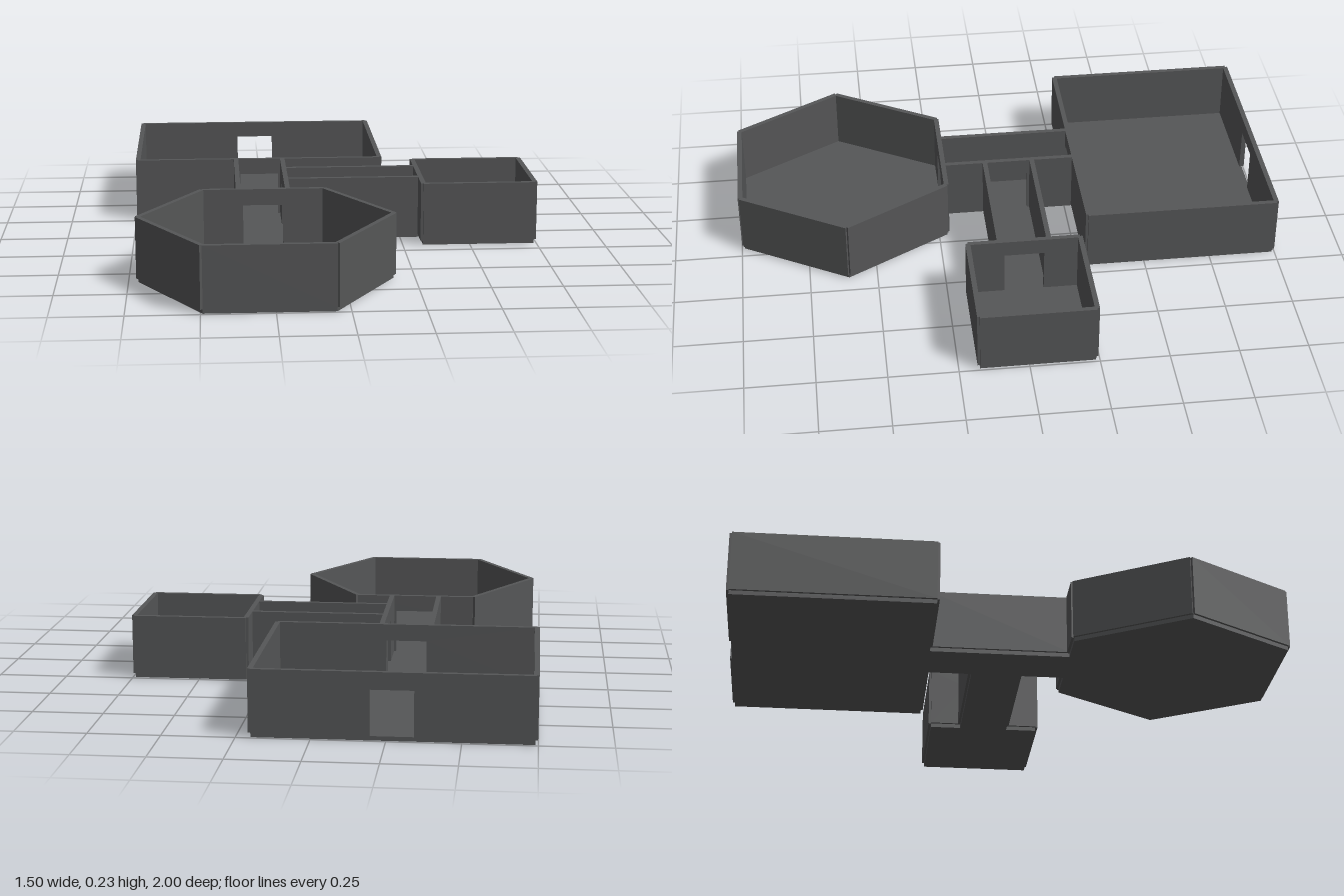
import * as THREE from 'three';

const FLOOR = 0.015;    // slab thickness
const TOP = 0.235;      // top of the walls
const WALL = 0.018;     // wall thickness
const DOOR_W = 0.146, DOOR_H = 0.16;

export function createModel() {
  const model = new THREE.Group();
  model.name = 'floorPlan';
  const stone = new THREE.MeshStandardMaterial({ color: 0x555657 });
  stone.name = 'dark grey';

  function add(group, geometry, name) {
    const mesh = new THREE.Mesh(geometry, stone);
    mesh.name = name;
    group.add(mesh);
    return mesh;
  }

  // Upright wall from a to b ([x, z]); an optional doorway is centred on it or at a given distance
  function addWall(group, a, b, doorAt) {
    const dx = b[0] - a[0], dz = b[1] - a[1];
    const len = Math.hypot(dx, dz), h = TOP - FLOOR;
    const s = new THREE.Shape();
    s.moveTo(0, 0);
    if (doorAt !== undefined) {
      const l = doorAt - DOOR_W / 2, r = doorAt + DOOR_W / 2;
      s.lineTo(l, 0);
      s.lineTo(l, DOOR_H);
      s.lineTo(r, DOOR_H);
      s.lineTo(r, 0);
    }
    s.lineTo(len, 0);
    s.lineTo(len, h);
    s.lineTo(0, h);
    s.closePath();
    const g = new THREE.ExtrudeGeometry(s, { depth: WALL, bevelEnabled: false });
    g.translate(0, 0, -WALL / 2);
    const wall = add(group, g, doorAt === undefined ? 'wall' : 'doorwayWall');
    wall.position.set(a[0], FLOOR, a[1]);
    wall.rotation.y = -Math.atan2(dz, dx);
  }

  // Floor slab under an outline, with walls along its edges.
  // doors: edge index -> distance of the doorway along the edge; open: edges left without a wall
  function addRoom(name, pts, doors = {}, open = []) {
    const group = new THREE.Group();
    group.name = name;
    const outline = new THREE.Shape(pts.map(([x, z]) => new THREE.Vector2(x, -z)));
    const slab = new THREE.ExtrudeGeometry(outline, { depth: FLOOR, bevelEnabled: false });
    slab.rotateX(-Math.PI / 2);
    add(group, slab, 'floor');
    pts.forEach((p, i) => {
      if (!open.includes(i)) addWall(group, p, pts[(i + 1) % pts.length], doors[i]);
    });
    model.add(group);
  }

  // Edges run: 0 back, 1 left (+x), 2 front, 3 right (-x)
  const rect = (x0, x1, z0, z1) => [[x0, z0], [x1, z0], [x1, z1], [x0, z1]];

  // Large hall with doorways front and back
  addRoom('hall', rect(-0.74, 0.2, -0.99, -0.284), { 0: 0.47, 2: 0.47 });

  // Main corridor, with a doorway into the side corridor
  addRoom('mainCorridor', rect(-0.36, -0.18, -0.284, 0.22), { 1: 0.254 }, [0, 2]);

  // Side corridor
  addRoom('sideCorridor', rect(-0.18, 0.325, -0.12, 0.06), {}, [1, 3]);

  // Small room
  addRoom('smallRoom', rect(0.325, 0.74, -0.235, 0.175), { 3: 0.205 });

  // Hexagonal chamber; edge 4 is the back wall with its doorway
  const R = 0.445, hex = [];
  for (let i = 0; i < 6; i++) {
    const a = (i * Math.PI) / 3;
    hex.push([-0.27 + R * Math.cos(a), 0.605 + R * Math.sin(a)]);
  }
  addRoom('hexagonChamber', hex, { 4: R / 2 });

  return model;
}
